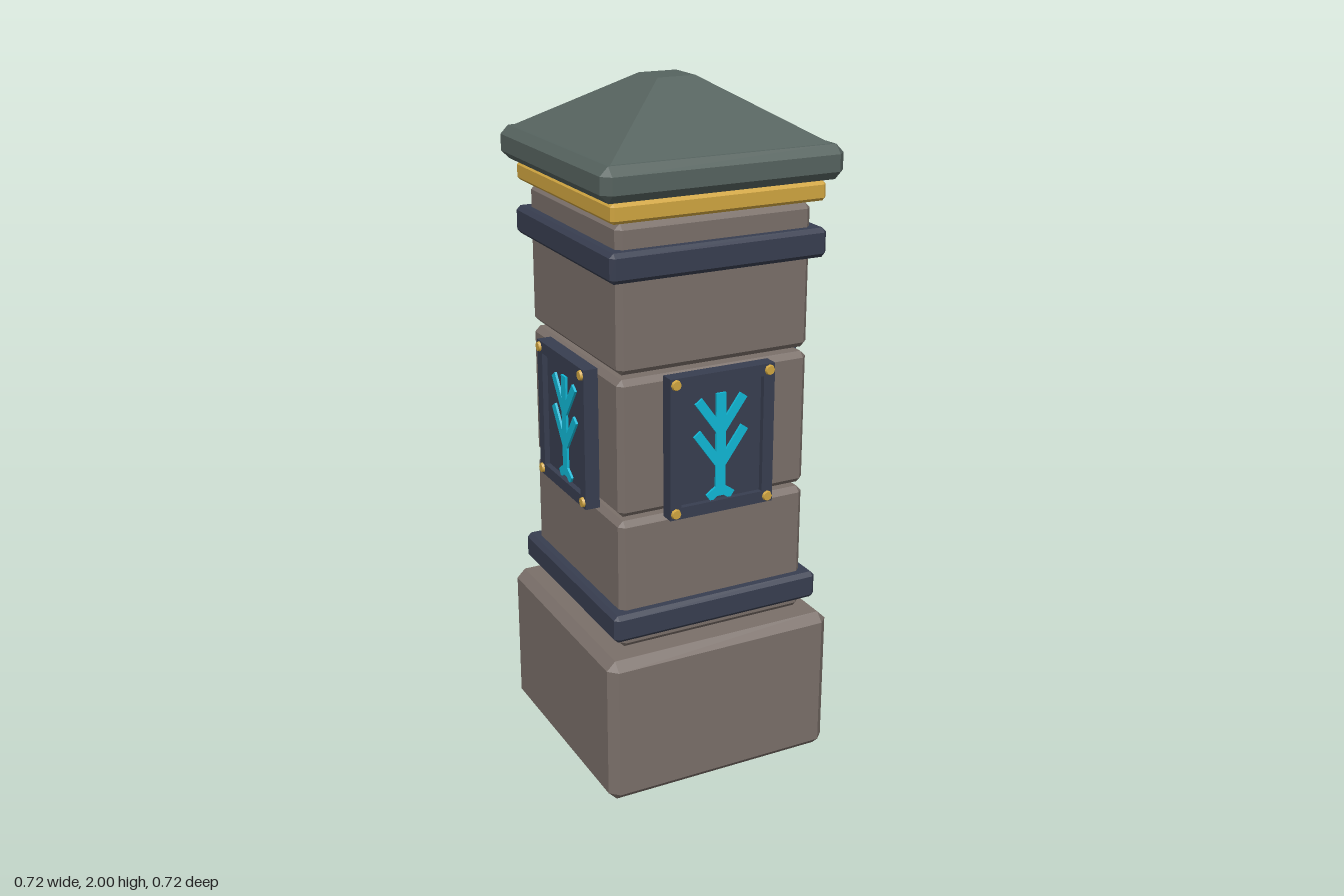
import * as THREE from 'three';

const mat = (name, color, extra = {}) => {
  const m = new THREE.MeshStandardMaterial({ color, ...extra });
  m.name = name;
  return m;
};

// Square ring with cut corners: half width h, corner cut c
function ring(h, c, y) {
  const k = h - c;
  return [[-k, h], [k, h], [h, k], [h, -k], [k, -h], [-k, -h], [-h, -k], [-h, k]]
    .map(([x, z]) => new THREE.Vector3(x, y, z));
}

// Flat-faced solid skinned over a stack of rings
function skin(rings, openBottom = false) {
  const pos = [];
  const tri = (a, b, c) => {
    const area = b.clone().sub(a).cross(c.clone().sub(a)).length();
    if (area > 1e-9) for (const p of [a, b, c]) pos.push(p.x, p.y, p.z);
  };
  for (let r = 0; r < rings.length - 1; r++) {
    const lo = rings[r], up = rings[r + 1];
    for (let i = 0; i < 8; i++) {
      const j = (i + 1) % 8;
      tri(lo[i], lo[j], up[j]);
      tri(lo[i], up[j], up[i]);
    }
  }
  const bottom = rings[0], top = rings[rings.length - 1];
  for (let i = 1; i < 7; i++) {
    tri(top[0], top[i], top[i + 1]);
    if (!openBottom) tri(bottom[0], bottom[i + 1], bottom[i]);
  }
  const g = new THREE.BufferGeometry();
  g.setAttribute('position', new THREE.Float32BufferAttribute(pos, 3));
  g.computeVertexNormals();
  return g;
}

// Square block with every edge chamfered by c
const block = (h, y0, y1, c, openBottom) => skin([
  ring(h - c, 0, y0), ring(h, c, y0 + c), ring(h, c, y1 - c), ring(h - c, 0, y1),
], openBottom);

export function createModel() {
  const stone = mat('stone', 0x7a6f69, { side: THREE.DoubleSide });
  const slate = mat('slate', 0x56635f);
  const navy = mat('navyMetal', 0x383e50);
  const gold = mat('gold', 0xd0a540);
  const cyan = mat('cyanGlow', 0x10b8d6);

  const model = new THREE.Group();
  model.name = 'pillar';
  const add = (parent, name, geometry, material, x = 0, y = 0, z = 0) => {
    const m = new THREE.Mesh(geometry, material);
    m.name = name;
    m.position.set(x, y, z);
    parent.add(m);
    return m;
  };

  // Hollow base and three shaft blocks with narrow joints
  add(model, 'base', block(0.357, 0, 0.448, 0.026, true), stone);
  [[0.457, 0.843], [0.856, 1.252], [1.265, 1.675]].forEach(([a, b], i) =>
    add(model, `shaftBlock${i + 1}`, block(0.293, a, b, 0.016), stone));

  // Bands, trim and cap
  add(model, 'lowerBand', block(0.325, 0.494, 0.576, 0.012), navy);
  add(model, 'upperBand', block(0.325, 1.526, 1.608, 0.012), navy);
  add(model, 'goldTrim', block(0.32, 1.682, 1.736, 0.009), gold);
  add(model, 'capSlab', block(0.358, 1.742, 1.837, 0.024), slate);
  add(model, 'capRoof', skin([ring(0.332, 0, 1.832), ring(0.057, 0, 2)]), slate);

  // One framed panel on each side
  for (let side = 0; side < 4; side++) {
    const panel = new THREE.Group();
    panel.name = `panel${side + 1}`;
    panel.position.y = 1.047;
    panel.rotation.y = side * Math.PI / 2;
    model.add(panel);
    add(panel, 'panelPlate', new THREE.BoxGeometry(0.3, 0.39, 0.03), navy, 0, 0, 0.305);
    for (const s of [-1, 1]) {
      add(panel, 'frameUpright', new THREE.BoxGeometry(0.034, 0.41, 0.043), navy, s * 0.144, 0, 0.3145);
      add(panel, 'frameRail', new THREE.BoxGeometry(0.254, 0.034, 0.043), navy, 0, s * 0.188, 0.3145);
      for (const t of [-1, 1]) {
        const stud = add(panel, 'stud', new THREE.CylinderGeometry(0.013, 0.016, 0.008, 8), gold,
          s * 0.144, t * 0.187, 0.339);
        stud.rotation.x = Math.PI / 2;
      }
    }

    // Branching emblem made of thin strips
    const strip = (name, x0, y0, x1, y1, w) => {
      const len = Math.hypot(x1 - x0, y1 - y0);
      const m = add(panel, name, new THREE.BoxGeometry(w, len, 0.008), cyan,
        (x0 + x1) / 2, (y0 + y1) / 2 - 1.047, 0.323);
      m.rotation.z = -Math.atan2(x1 - x0, y1 - y0);
    };
    strip('trunk', 0, 0.885, 0, 1.187, 0.03);
    for (const s of [-1, 1]) {
      strip('lowerBranch', 0, 0.975, s * 0.074, 1.078, 0.026);
      strip('upperBranch', 0, 1.075, s * 0.07, 1.172, 0.026);
      strip('root', 0, 0.908, s * 0.037, 0.882, 0.026);
    }
  }
  return model;
}
